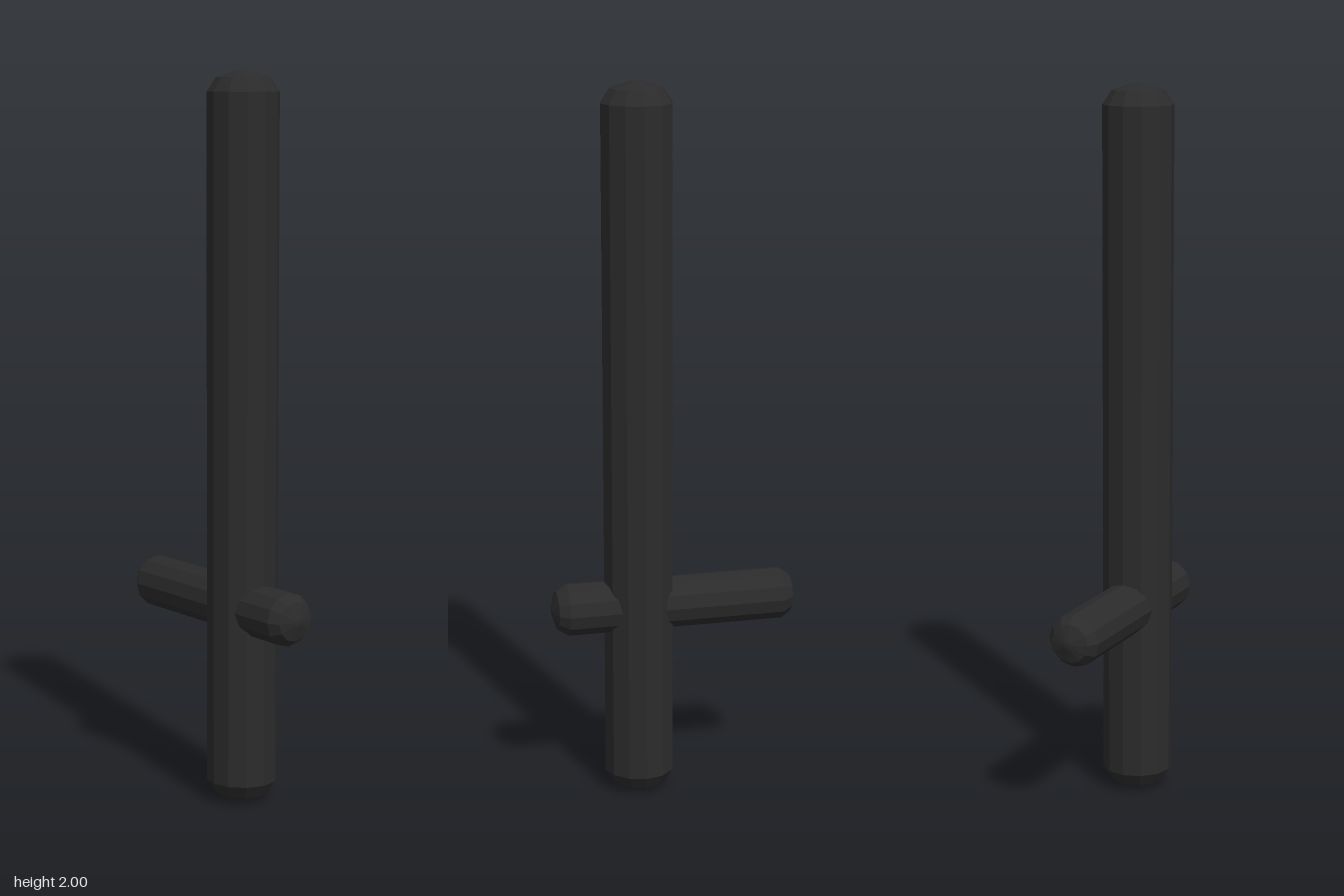
import * as THREE from 'three';

const material = new THREE.MeshStandardMaterial({ color: 0x2b2b2b, flatShading: true });

// Twelve-sided rod along y with a two-step domed cap at each end
function rod(name, radius, length) {
  const cap = [[0, 0], [0.16, 0.02], [0.74, 0.2], [1, 0.59]]; // radius, distance from tip
  const bottom = cap.map(([r, d]) => new THREE.Vector2(r * radius, d * radius - length / 2));
  const top = bottom.map((p) => new THREE.Vector2(p.x, -p.y)).reverse();
  const mesh = new THREE.Mesh(new THREE.LatheGeometry([...bottom, ...top], 12), material);
  mesh.name = name;
  return mesh;
}

export function createModel() {
  const group = new THREE.Group();
  group.name = 'baton';

  // Long upright shaft
  const shaft = rod('shaft', 0.098, 2);
  shaft.position.set(0, 1, 0.1);

  // Short side handle passing through the shaft
  const handle = rod('handle', 0.073, 0.698);
  handle.rotation.x = Math.PI / 2;
  handle.position.set(0, 0.546, 0);

  group.add(shaft, handle);
  return group;
}
